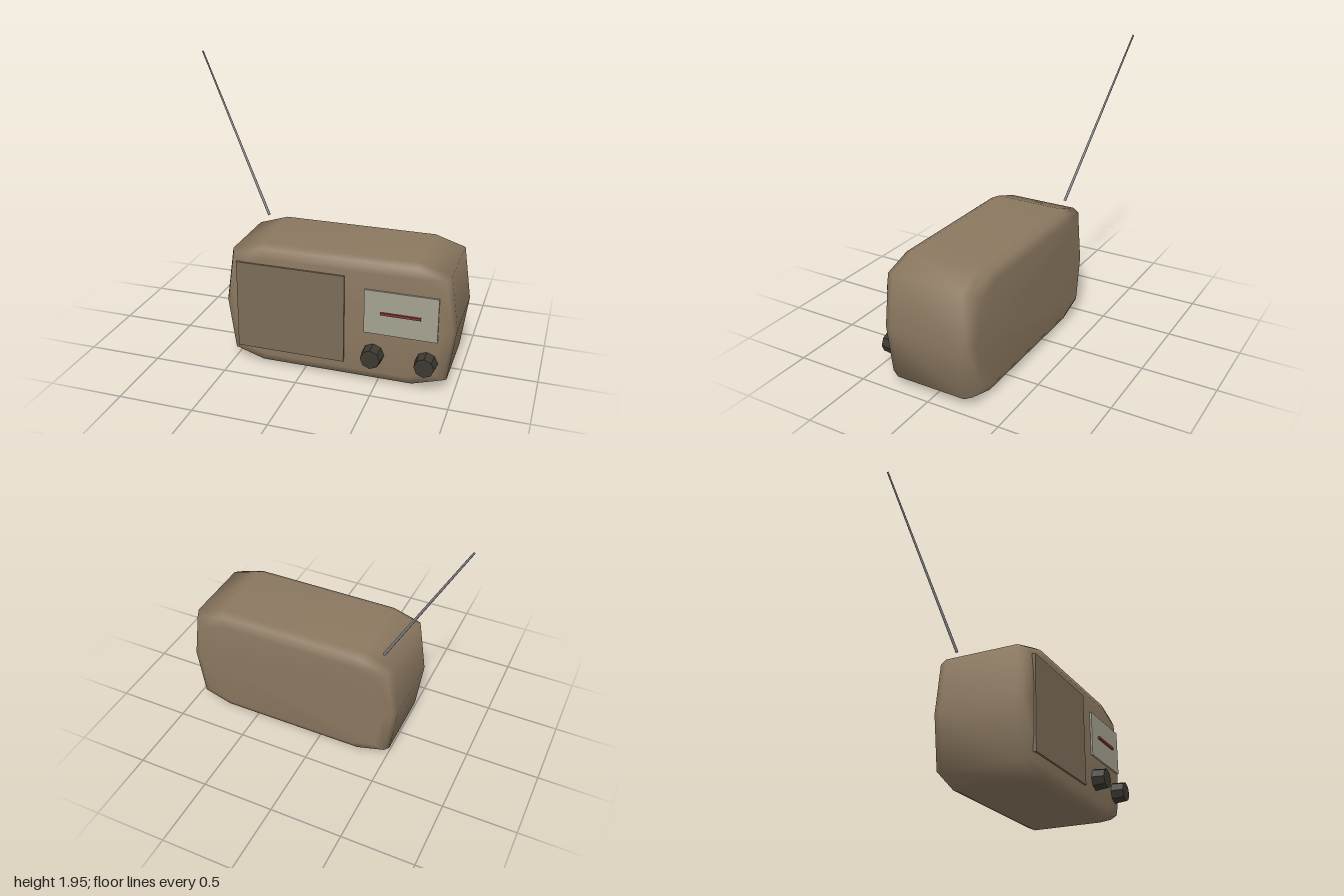
import * as THREE from 'three';

const CX = 0.217, CY = 0.4275; // centre of the case outline

function part(name, geometry, color) {
  const mesh = new THREE.Mesh(geometry, new THREE.MeshStandardMaterial({ color }));
  mesh.name = name;
  return mesh;
}

// Box given by its x, y and z ranges
function slab(name, [x0, x1], [y0, y1], [z0, z1], color) {
  const mesh = part(name, new THREE.BoxGeometry(x1 - x0, y1 - y0, z1 - z0), color);
  mesh.position.set((x0 + x1) / 2, (y0 + y1) / 2, (z0 + z1) / 2);
  return mesh;
}

// Ten-sided outline lofted from back to front, with softened rims
function caseGeometry() {
  const quarter = [[0.778, 0], [0.7275, 0.3625], [0.525, 0.4275]];
  const outline = [
    ...quarter,
    ...quarter.slice(1).reverse().map(([x, y]) => [-x, y]),
    [-0.778, 0],
    ...quarter.slice(1).map(([x, y]) => [-x, -y]),
    ...quarter.slice(1).reverse().map(([x, y]) => [x, -y]),
  ];
  // [z, inset]
  const rings = [[-0.31, 0.08], [-0.28, 0.022], [-0.23, 0], [0.26, 0], [0.31, 0.022], [0.34, 0.08]];
  const n = outline.length, positions = [], index = [];
  for (const [z, inset] of rings) {
    const sx = 1 - inset / 0.778, sy = 1 - inset / 0.4275;
    for (const [x, y] of outline) positions.push(CX + x * sx, CY + y * sy, z);
  }
  for (let r = 0; r < rings.length - 1; r++) {
    for (let i = 0; i < n; i++) {
      const a = r * n + i, b = r * n + (i + 1) % n;
      index.push(a, b, b + n, a, b + n, a + n);
    }
  }
  // Flat back and front
  const front = (rings.length - 1) * n;
  for (let i = 1; i < n - 1; i++) {
    index.push(0, i + 1, i);
    index.push(front, front + i, front + i + 1);
  }
  const geometry = new THREE.BufferGeometry();
  geometry.setAttribute('position', new THREE.Float32BufferAttribute(positions, 3));
  geometry.setIndex(index);
  geometry.computeVertexNormals();
  return geometry;
}

export function createModel() {
  const radio = new THREE.Group();
  radio.name = 'radio';

  radio.add(part('case', caseGeometry(), 0x8b7860));

  // Front panels
  radio.add(slab('speakerPanel', [-0.455, 0.28], [0.125, 0.735], [0.30, 0.352], 0x7d6c57));
  radio.add(slab('dialWindow', [0.412, 0.888], [0.365, 0.665], [0.30, 0.352], 0xa5a28f));
  radio.add(slab('dialNeedle', [0.52, 0.78], [0.508, 0.524], [0.34, 0.365], 0x8c3535));

  // Eight-sided tapered knobs
  for (const [name, x] of [['tuningKnob', 0.475], ['volumeKnob', 0.823]]) {
    const knob = part(name, new THREE.CylinderGeometry(0.065, 0.074, 0.09, 8), 0x3d3933);
    knob.material.flatShading = true;
    knob.rotation.x = Math.PI / 2;
    knob.position.set(x, 0.212, 0.377);
    radio.add(knob);
  }

  // Tilted antenna rod
  const base = new THREE.Vector3(-0.433, 0.865, -0.2);
  const tip = new THREE.Vector3(-0.994, 1.945, -0.42);
  const rod = tip.clone().sub(base);
  const antenna = part('antenna', new THREE.CylinderGeometry(0.006, 0.01, rod.length(), 8), 0x85858a);
  antenna.position.copy(base).add(tip).multiplyScalar(0.5);
  antenna.quaternion.setFromUnitVectors(new THREE.Vector3(0, 1, 0), rod.normalize());
  radio.add(antenna);

  return radio;
}
